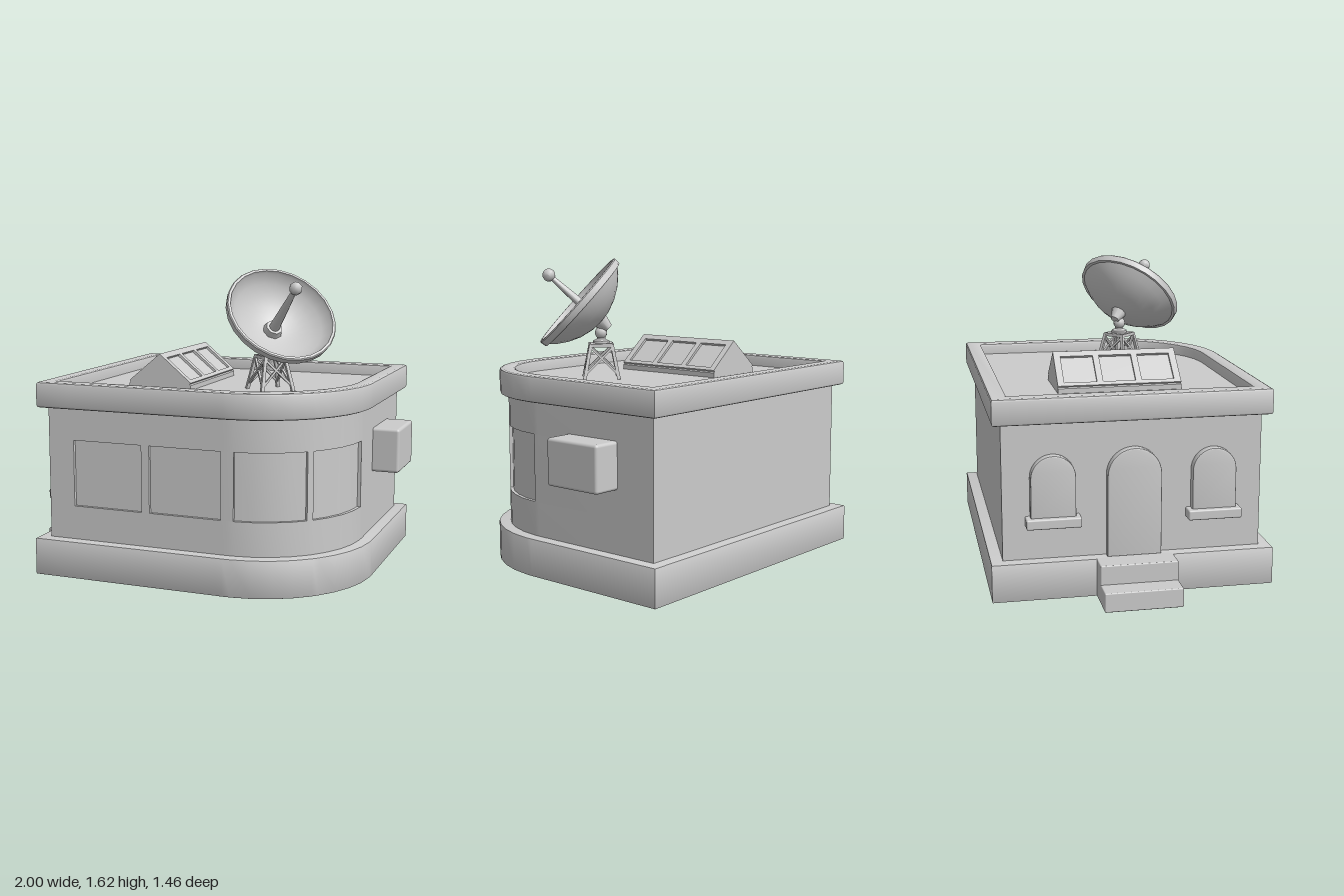
import * as THREE from 'three';
import { toCreasedNormals } from 'three/addons/utils/BufferGeometryUtils.js';
import { RoundedBoxGeometry } from 'three/addons/geometries/RoundedBoxGeometry.js';

const material = new THREE.MeshStandardMaterial({ color: 0xcccccc });
const V = (x, y, z) => new THREE.Vector3(x, y, z);

function add(parent, name, geometry, x = 0, y = 0, z = 0) {
  const mesh = new THREE.Mesh(geometry, material);
  mesh.name = name;
  mesh.position.set(x, y, z);
  parent.add(mesh);
  return mesh;
}

function group(parent, name, x = 0, y = 0, z = 0) {
  const g = new THREE.Group();
  g.name = name;
  g.position.set(x, y, z);
  parent.add(g);
  return g;
}

// Extrusion that keeps the outline's size when it is bevelled
function extrude(shape, depth, bevel = 0) {
  const geo = new THREE.ExtrudeGeometry(shape, {
    depth: depth - 2 * bevel, bevelEnabled: bevel > 0, bevelSize: bevel,
    bevelThickness: bevel, bevelOffset: -bevel, bevelSegments: 2, curveSegments: 10,
  });
  geo.translate(0, 0, bevel);
  return toCreasedNormals(geo, 0.6);
}

// Straight bar between two points
function bar(parent, name, a, b, r0, r1 = r0, sides = 6) {
  const mesh = add(parent, name, toCreasedNormals(new THREE.CylinderGeometry(r1, r0, a.distanceTo(b), sides), sides > 4 ? 1.1 : 0.5));
  mesh.position.copy(a).lerp(b, 0.5);
  mesh.quaternion.setFromUnitVectors(V(0, 1, 0), b.clone().sub(a).normalize());
  return mesh;
}

// Building outline: stations below 0 run along the straight front,
// stations from 0 to 90 are degrees round the curved corner.
const CX = 0.29, CZ = 0.11, R = 0.56;
const STATIONS = [-0.86, -0.47, -0.425, -0.03, 0, 4, 14, 24, 34, 43, 46.5, 56, 66, 76, 87, 90];
const WINDOWS = [[-0.86, -0.47], [-0.425, -0.03], [4, 43], [46.5, 87]];

function frontPoint(s, d) {
  const a = THREE.MathUtils.degToRad(Math.max(s, 0));
  return new THREE.Vector2(CX + Math.min(s, 0) + Math.sin(a) * (R + d), -(CZ + Math.cos(a) * (R + d)));
}

function plan(d, notch = 0) {
  const pts = [new THREE.Vector2(-0.715 - d, 0.67 + d), new THREE.Vector2(-0.715 - d, -0.67 - d)];
  for (const s of STATIONS) {
    const w = notch && WINDOWS.find(([a, b]) => s >= a && s <= b);
    if (!w) pts.push(frontPoint(s, d));
    else {
      if (s === w[0]) pts.push(frontPoint(s, d));
      pts.push(frontPoint(s, d - notch));
      if (s === w[1]) pts.push(frontPoint(s, d));
    }
  }
  pts.push(new THREE.Vector2(0.85 + d, 0.67 + d));
  return pts;
}

function storey(parent, name, points, y0, y1, bevel = 0, hole = null) {
  const shape = new THREE.Shape(points);
  if (hole) shape.holes.push(new THREE.Path(hole));
  add(parent, name, extrude(shape, y1 - y0, bevel).rotateX(-Math.PI / 2), 0, y0, 0);
}

// Round-headed outline, standing on y = 0
function arch(w, h, y0 = 0, Type = THREE.Shape) {
  const p = new Type();
  p.moveTo(-w / 2, y0);
  p.lineTo(w / 2, y0);
  p.lineTo(w / 2, h - w / 2);
  p.absarc(0, h - w / 2, w / 2, 0, Math.PI, false);
  p.closePath();
  return p;
}

// Arched door or window on the -x wall, with frame, panel and glazing bars
function opening(parent, name, w, h, y, z, rim, rows) {
  const g = group(parent, name, -0.71, y, z);
  g.rotation.y = -Math.PI / 2;
  const frame = arch(w, h);
  const iw = w - 2 * rim, ih = h - rim;
  frame.holes.push(arch(iw, ih, 0.012, THREE.Path));
  add(g, name + 'Frame', extrude(frame, 0.05, 0.007));
  add(g, name + 'Panel', extrude(arch(iw + 0.01, ih), 0.014));
  add(g, name + 'Mullion', new THREE.BoxGeometry(0.018, ih, 0.026), 0, ih / 2, 0.013);
  for (const r of rows) add(g, name + 'CrossBar', new THREE.BoxGeometry(iw, 0.02, 0.026), 0, r * h, 0.013);
  return g;
}

function skylight(parent) {
  const g = group(parent, 'skylight', -0.225, 0.98, -0.005);
  const half = 0.18, eave = 0.04, ridge = 0.19, length = 0.66;
  const t = 0.014;
  const core = new THREE.Shape([[-half, 0], [half, 0], [half, eave - t], [0, ridge - t * 1.3], [-half, eave - t]]
    .map(([x, y]) => new THREE.Vector2(x, y)));
  add(g, 'skylightBody', extrude(core, length), 0, 0, -length / 2);
  // Sloping frames, three panes a side
  const run = Math.hypot(half, ridge - eave), angle = Math.atan2(ridge - eave, half);
  for (const side of [-1, 1]) {
    const f = new THREE.Shape([[-length / 2, 0], [length / 2, 0], [length / 2, run], [-length / 2, run]]
      .map(([x, y]) => new THREE.Vector2(x, y)));
    for (const c of [-0.207, 0, 0.207]) {
      f.holes.push(new THREE.Path([[c - 0.087, 0.022], [c - 0.087, run - 0.035], [c + 0.087, run - 0.035], [c + 0.087, 0.022]]
        .map(([x, y]) => new THREE.Vector2(x, y))));
    }
    const slope = group(g, 'skylightSlope');
    slope.rotation.y = side * Math.PI / 2;
    const m = add(slope, 'skylightFrame', extrude(f, 0.02).translate(0, 0, -0.02), 0, eave, half);
    m.rotation.x = angle - Math.PI / 2;
  }
}

function antenna(parent) {
  const g = group(parent, 'antenna', 0.34, 0, 0.14);
  // Lattice tower
  const corner = (i, t) => {
    const a = i * Math.PI / 2, r = 0.13 - 0.05 * t;
    return V(Math.cos(a) * r, 0.98 + 0.185 * t, Math.sin(a) * r);
  };
  for (let i = 0; i < 4; i++) {
    bar(g, 'towerLeg', corner(i, 0), corner(i, 1), 0.013, 0.012, 4);
    bar(g, 'towerTopRail', corner(i, 0.97), corner(i + 1, 0.97), 0.012, 0.012, 4);
    bar(g, 'towerBrace', corner(i, 0.15), corner(i + 1, 0.92), 0.008, 0.008, 4);
    bar(g, 'towerBrace', corner(i + 1, 0.15), corner(i, 0.92), 0.008, 0.008, 4);
  }
  const plate = add(g, 'towerPlate', new THREE.BoxGeometry(0.12, 0.014, 0.12), 0, 1.163, 0);
  plate.rotation.y = Math.PI / 4;
  // Swivel neck
  const neck = [[0, 1.16], [0.045, 1.16], [0.045, 1.182], [0.024, 1.192], [0.022, 1.215]].map(([r, y]) => new THREE.Vector2(r, y));
  add(g, 'neck', toCreasedNormals(new THREE.LatheGeometry(neck, 10), 0.7));
  add(g, 'swivelBall', new THREE.SphereGeometry(0.034, 10, 8), 0, 1.225, 0);

  // Tilted dish, built about its own axis with the rim at y = 0
  const axis = V(0.525, 0.67, 0.525).normalize();
  const dish = group(g, 'dish', 0.085, 1.39, 0.078);
  dish.quaternion.setFromUnitVectors(V(0, 1, 0), axis);
  const profile = [[0, -0.158], [0.07, -0.15], [0.14, -0.128], [0.2, -0.096], [0.25, -0.057], [0.283, -0.022],
    [0.298, -0.022], [0.302, 0.012], [0.297, 0.018], [0.284, 0.018], [0.28, 0.002],
    [0.245, -0.044], [0.195, -0.083], [0.135, -0.115], [0.07, -0.136], [0, -0.143]];
  add(dish, 'reflector', toCreasedNormals(new THREE.LatheGeometry(profile.map(([r, y]) => new THREE.Vector2(r, y)), 24), 0.6));
  bar(dish, 'dishMount', V(0, -0.21, 0), V(0, -0.15, 0), 0.025, 0.045, 10);
  bar(dish, 'feedBase', V(0, -0.145, 0), V(0, -0.105, 0), 0.055, 0.045, 8);
  bar(dish, 'feedRod', V(0, -0.11, 0), V(0, 0.21, 0), 0.029, 0.013, 10);
  add(dish, 'feedTip', toCreasedNormals(new THREE.SphereGeometry(0.035, 8, 6), 0.9), 0, 0.218, 0);
}

export function createModel() {
  const model = new THREE.Group();
  model.name = 'building';

  // Plinth, walls with recessed windows, and parapet roof
  storey(model, 'plinth', plan(0.062), 0, 0.2, 0.006);
  storey(model, 'lowerWall', plan(0), 0.19, 0.38);
  storey(model, 'windowWall', plan(0, 0.018), 0.38, 0.735);
  storey(model, 'upperWall', plan(0), 0.735, 0.92);
  storey(model, 'parapet', plan(0.046), 0.905, 1.042, 0.014, plan(-0.04));
  storey(model, 'roofDeck', plan(-0.02), 0.915, 0.98);

  // Entrance side
  add(model, 'upperStep', new RoundedBoxGeometry(0.16, 0.2, 0.4, 2, 0.006), -0.805, 0.1, 0);
  add(model, 'lowerStep', new RoundedBoxGeometry(0.16, 0.1, 0.4, 2, 0.006), -0.92, 0.05, 0);
  opening(model, 'door', 0.28, 0.565, 0.2, 0, 0.035, [0.25, 0.5, 0.73]);
  for (const z of [-0.415, 0.415]) {
    opening(model, 'archedWindow', 0.23, 0.33, 0.415, z, 0.04, [0.52]);
    add(model, 'windowSill', new RoundedBoxGeometry(0.09, 0.052, 0.28, 2, 0.008), -0.745, 0.402, z);
  }

  // Wall-mounted unit on the other side
  add(model, 'wallUnit', new RoundedBoxGeometry(0.165, 0.242, 0.338, 3, 0.016), 0.914, 0.643, -0.27);

  skylight(model);
  antenna(model);
  return model;
}
